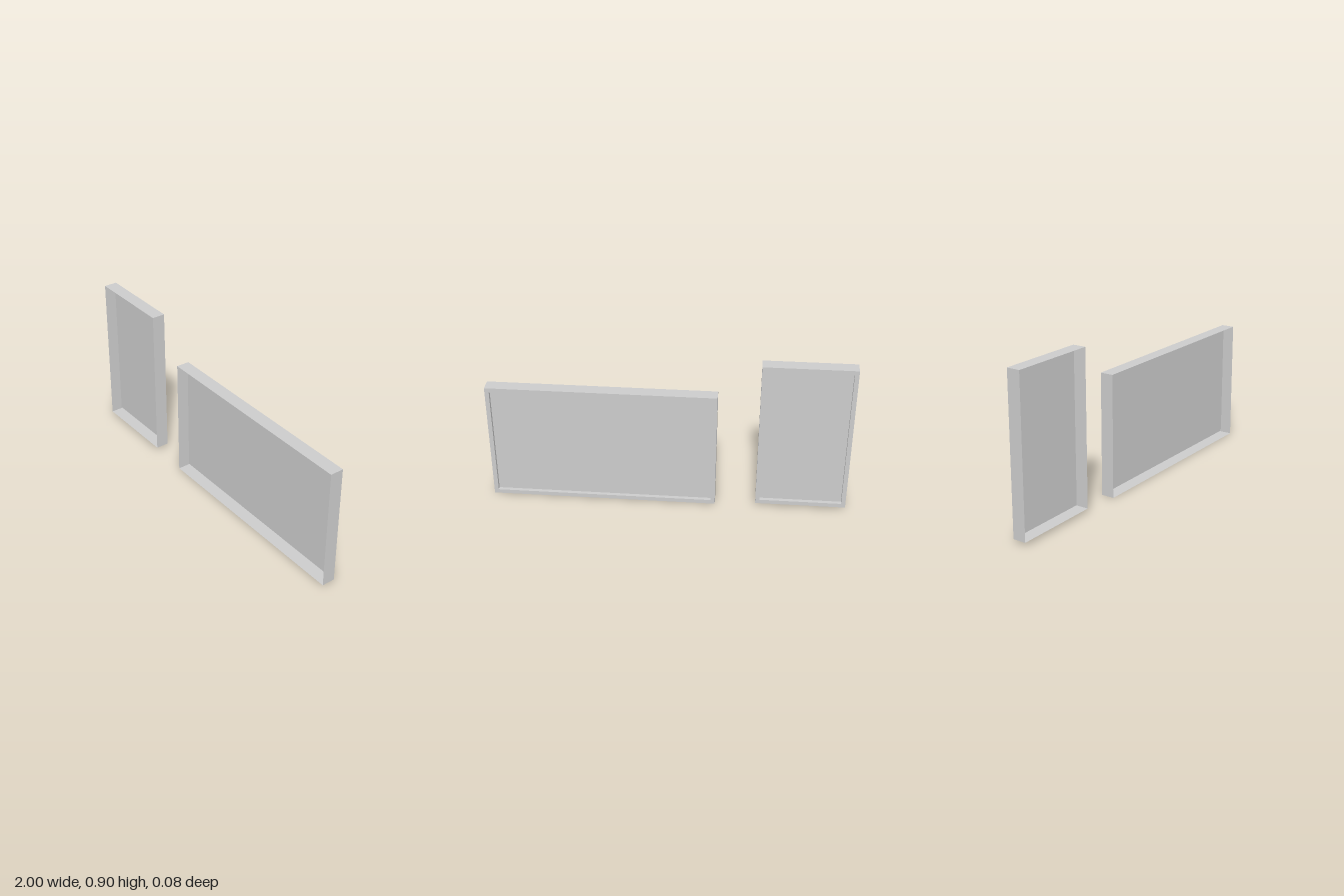
import * as THREE from 'three';

const HALF_DEPTH = 0.0375;
const LIP = 0.024; // width of the rim on the back
const RECESS = 0.021; // how far the panel is set in from the back

const material = new THREE.MeshStandardMaterial({ color: 0xcccccc, side: THREE.DoubleSide });

// Four corners of a rectangle shrunk by inset, at depth z
function ring(w, h, inset, z) {
  const x = w / 2 - inset, y = h / 2 - inset;
  return [[-x, -y, z], [x, -y, z], [x, y, z], [-x, y, z]];
}

// Flat-sided skin joining consecutive rings
function skin(rings) {
  const positions = [];
  for (let r = 0; r < rings.length - 1; r++) {
    const a = rings[r], b = rings[r + 1];
    for (let i = 0; i < 4; i++) {
      const j = (i + 1) % 4;
      for (const p of [a[i], b[i], b[j], a[i], b[j], a[j]]) positions.push(...p);
    }
  }
  const geometry = new THREE.BufferGeometry();
  geometry.setAttribute('position', new THREE.Float32BufferAttribute(positions, 3));
  geometry.computeVertexNormals();
  return geometry;
}

// Shallow tray, open at the front, with a panel recessed into its back
function framedPanel(name, x0, x1, y0, y1) {
  const w = x1 - x0, h = y1 - y0;
  const group = new THREE.Group();
  group.name = name;
  group.position.set((x0 + x1) / 2, (y0 + y1) / 2, 0);

  // Side walls, back rim and recess walls
  const frame = new THREE.Mesh(skin([
    ring(w, h, 0, HALF_DEPTH),
    ring(w, h, 0, -HALF_DEPTH),
    ring(w, h, LIP, -HALF_DEPTH),
    ring(w, h, LIP, -HALF_DEPTH + RECESS),
  ]), material);
  frame.name = 'frame';

  // Recessed panel, facing the back
  const panel = new THREE.Mesh(new THREE.PlaneGeometry(w - 2 * LIP, h - 2 * LIP), material);
  panel.name = 'panel';
  panel.rotation.y = Math.PI;
  panel.position.z = -HALF_DEPTH + RECESS;

  group.add(frame, panel);
  return group;
}

export function createModel() {
  const model = new THREE.Group();
  model.name = 'framedPanels';
  model.add(
    framedPanel('tallPanel', -1, -0.496, 0.02, 0.897),
    framedPanel('widePanel', -0.267, 1, 0, 0.695),
  );
  return model;
}
